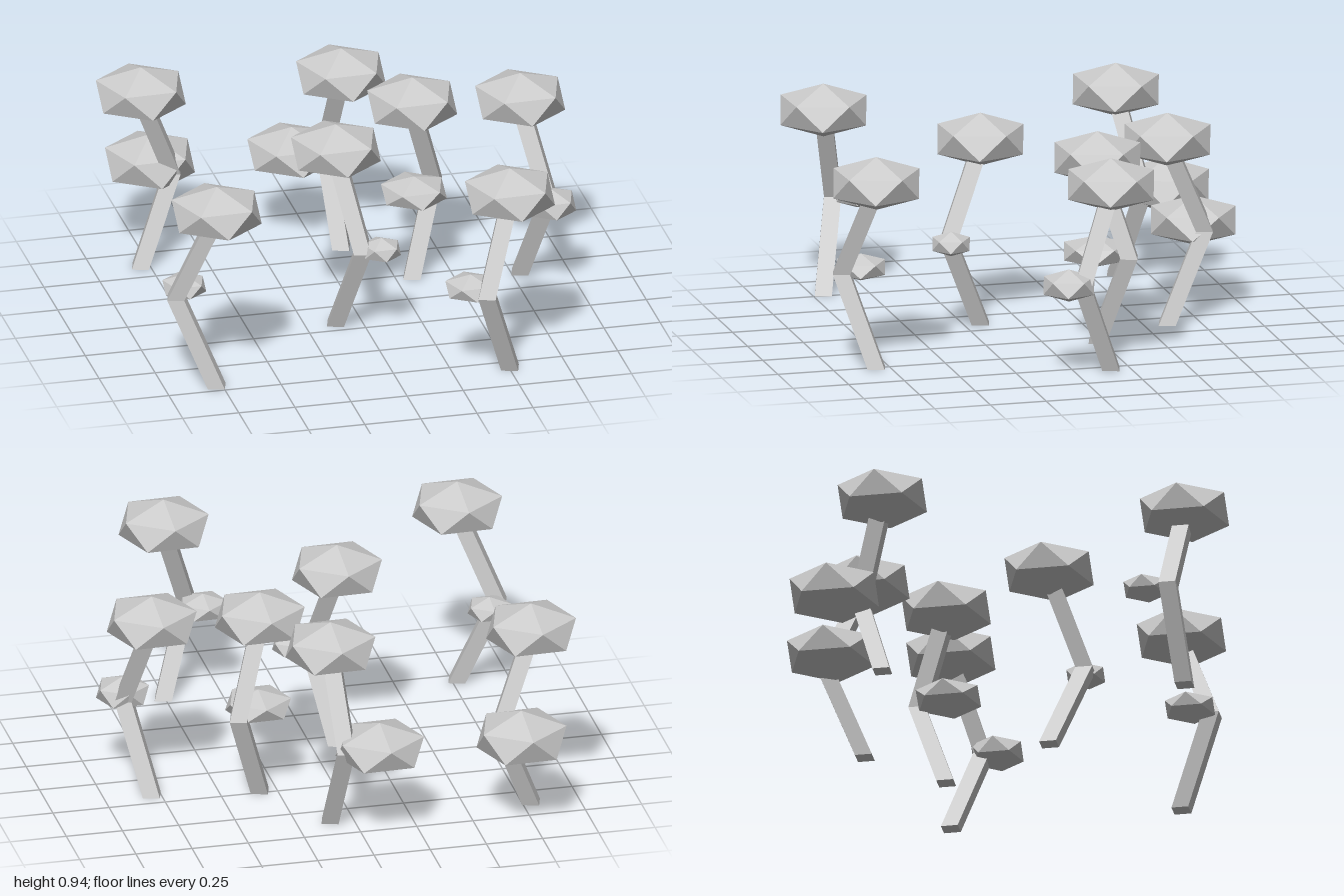
import * as THREE from 'three';

const TWIST = -16 * Math.PI / 180; // shared turn of crowns and trunk sections
const material = new THREE.MeshStandardMaterial({ color: 0xcccccc, flatShading: true });

// Faceted foliage: an icosahedron standing on a corner, flattened
function foliage(name, x, y, z, ringRadius, halfHeight) {
  const geometry = new THREE.IcosahedronGeometry(1, 0);
  geometry.rotateZ(Math.atan(2 / (1 + Math.sqrt(5))));
  geometry.rotateY(TWIST);
  const r = ringRadius / 0.894;
  geometry.scale(r, halfHeight, r);
  const mesh = new THREE.Mesh(geometry, material);
  mesh.name = name;
  mesh.position.set(x, y, z);
  return mesh;
}

// Square trunk that leans out to an elbow and back to the centre
function trunk(dx, dz) {
  const elbow = 0.4, height = 0.8, side = 0.074;
  const geometry = new THREE.BoxGeometry(side, height, side, 1, 2, 1);
  geometry.rotateY(TWIST);
  geometry.translate(0, height / 2, 0);
  const p = geometry.attributes.position;
  for (let i = 0; i < p.count; i++) {
    const lean = 1 - Math.abs(p.getY(i) - elbow) / elbow;
    p.setX(i, p.getX(i) + dx * lean);
    p.setZ(i, p.getZ(i) + dz * lean);
  }
  geometry.computeVertexNormals();
  const mesh = new THREE.Mesh(geometry, material);
  mesh.name = 'trunk';
  return mesh;
}

// Each tree: position, elbow offset, side foliage position, radius and half height
const trees = [
  { at: [-0.79, -0.615], bend: [0.16, -0.08], tuft: [-0.70, -0.815, 0.195, 0.123] },
  { at: [0.10, -0.605], bend: [-0.03, -0.175], tuft: [-0.08, -0.77, 0.192, 0.11] },
  { at: [0.325, -0.23], bend: [0.12, -0.11], tuft: [0.33, -0.22, 0.143, 0.07] },
  { at: [0.79, -0.165], bend: [0.09, 0.15], tuft: [0.87, 0.045, 0.115, 0.072] },
  { at: [-0.115, 0.175], bend: [0.08, 0.165], tuft: [0.045, 0.35, 0.085, 0.055] },
  { at: [-0.775, 0.70], bend: [-0.16, -0.085], tuft: [-0.875, 0.52, 0.095, 0.055] },
  { at: [0.505, 0.81], bend: [-0.13, 0.12], tuft: [0.325, 0.83, 0.11, 0.06] },
];

export function createModel() {
  const model = new THREE.Group();
  model.name = 'treeGrove';
  trees.forEach(({ at: [x, z], bend, tuft: [tx, tz, r, h] }, i) => {
    const tree = new THREE.Group();
    tree.name = `tree${i + 1}`;
    tree.position.set(x, 0, z);
    tree.add(
      trunk(...bend),
      foliage('crown', 0, 0.825, 0, 0.195, 0.118),
      foliage('sideFoliage', tx - x, 0.408, tz - z, r, h),
    );
    model.add(tree);
  });
  return model;
}
